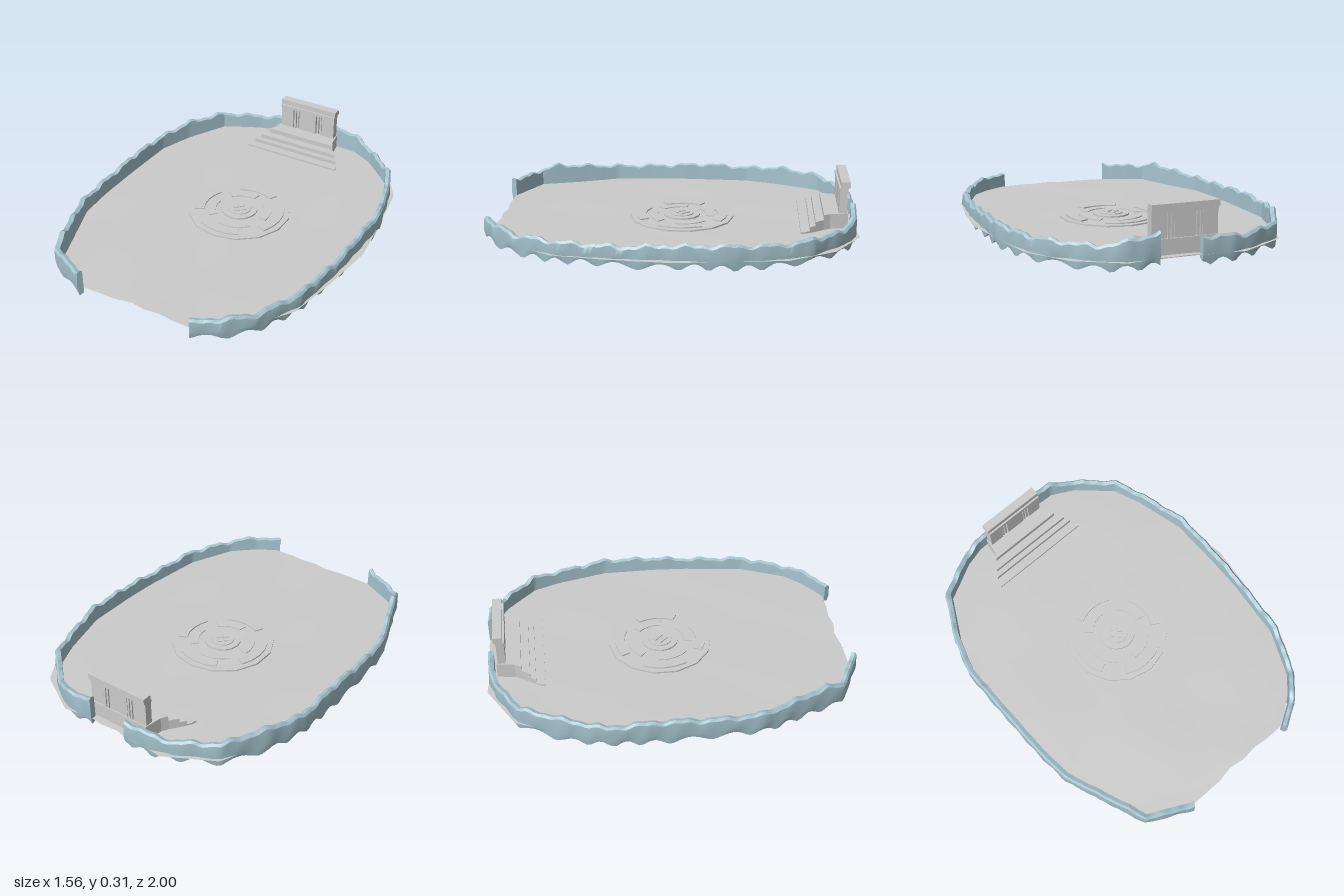
import * as THREE from 'three';
import { toCreasedNormals } from 'three/addons/utils/BufferGeometryUtils.js';

const grey = new THREE.MeshStandardMaterial({ color: 0xcccccc });
const greySheet = new THREE.MeshStandardMaterial({ color: 0xcccccc, side: THREE.DoubleSide });
const stone = new THREE.MeshStandardMaterial({ color: 0xa6c4ce });

function add(parent, name, geometry, material = grey) {
  const mesh = new THREE.Mesh(geometry, material);
  mesh.name = name;
  parent.add(mesh);
  return mesh;
}

// box given by its limits on each axis
function block(parent, name, x0, x1, y0, y1, z0, z1) {
  const mesh = add(parent, name, new THREE.BoxGeometry(x1 - x0, y1 - y0, z1 - z0));
  mesh.position.set((x0 + x1) / 2, (y0 + y1) / 2, (z0 + z1) / 2);
  return mesh;
}

// plan shape [x, z] raised from y0 to y1
function slab(points, y0, y1) {
  const shape = new THREE.Shape(points.map(([x, z]) => new THREE.Vector2(x, -z)));
  return new THREE.ExtrudeGeometry(shape, { depth: y1 - y0, bevelEnabled: false })
    .rotateX(-Math.PI / 2).translate(0, y0, 0);
}

function indexed(positions, index) {
  const g = new THREE.BufferGeometry();
  g.setAttribute('position', new THREE.Float32BufferAttribute(positions, 3));
  g.setIndex(index);
  g.computeVertexNormals();
  return g;
}

// gently uneven ground sheet, built as rings scaled from the outline
function floorGeometry() {
  const outline = [
    [-0.34, 0.955], [-0.59, 0.85], [-0.66, 0.64], [-0.755, 0.4], [-0.77, 0], [-0.765, -0.4], [-0.7, -0.6],
    [-0.585, -0.86], [-0.32, -1], [-0.2, -0.985], [-0.12, -0.995], [-0.03, -0.98], [0.06, -0.99], [0.14, -0.98],
    [0.3, -1], [0.54, -0.86], [0.685, -0.62], [0.735, -0.3], [0.775, -0.02], [0.735, 0.3], [0.685, 0.58],
    [0.56, 0.78], [0.33, 0.955], [0.2, 0.955], [0.12, 0.945], [0.03, 0.955], [-0.05, 0.94], [-0.15, 0.955]];
  const n = outline.length, rings = 8;
  const positions = [0, 0.065, 0], index = [];
  for (let r = 1; r <= rings; r++) for (const [x, z] of outline) {
    const s = r / rings, wave = Math.sin(9 * x * s + 1) * Math.cos(6 * z * s);
    positions.push(x * s, 0.065 + 0.004 * wave * s, z * s);
  }
  for (let i = 0; i < n; i++) {
    const j = (i + 1) % n;
    index.push(0, 1 + j, 1 + i);
    for (let r = 0; r < rings - 1; r++) {
      const a = 1 + r * n + i, b = 1 + r * n + j;
      index.push(a, b, a + n, b, b + n, a + n);
    }
  }
  return indexed(positions, index);
}

// rough stone rim swept along [x, z, top height] points
function wallGeometry(path, seed) {
  const samples = [];
  path.slice(1).forEach((q, k) => {
    const p = path[k], steps = Math.max(2, Math.round(Math.hypot(q[0] - p[0], q[1] - p[1]) / 0.022));
    for (let i = k ? 1 : 0; i <= steps; i++) samples.push(p.map((v, c) => v + (q[c] - v) * i / steps));
  });
  const positions = [], index = [], m = 6, last = samples.length - 1;
  let along = seed;
  samples.forEach(([x, z, top], i) => {
    const a = samples[Math.max(0, i - 1)], b = samples[Math.min(last, i + 1)];
    const dx = b[0] - a[0], dz = b[1] - a[1], len = Math.hypot(dx, dz);
    along += len / 2;
    const ox = dz / len, oz = -dx / len;
    const y1 = top + 0.008 * Math.sin(along * 31) + 0.005 * Math.sin(along * 67 + seed);
    const y0 = 0.008 + 0.034 * Math.abs(Math.sin(along * 19 + 0.8 * Math.sin(along * 7))) ** 1.5
      + 0.008 * (1 + Math.sin(along * 11 + seed)) / 2;
    const bulge = 0.003 * Math.sin(along * 43);
    // outer foot, outer face, outer lip, crest, inner lip, inner foot
    const section = [[0.01, y0], [0.018 + bulge, 0.07], [0.016, y1 - 0.012], [0.006, y1], [-0.014, y1 - 0.006], [-0.016, y0 + 0.012]];
    for (const [o, y] of section) positions.push(x + ox * o, y, z + oz * o);
  });
  for (let i = 0; i < last; i++) for (let j = 0; j < m; j++) {
    const a = i * m + j, b = i * m + (j + 1) % m;
    index.push(a, b, a + m, b, b + m, a + m);
  }
  for (let k = 1; k < m - 1; k++) index.push(0, k + 1, k, last * m, last * m + k, last * m + k + 1);
  return toCreasedNormals(indexed(positions, index), 0.6);
}

// curved bar between two radii, centred on the given angle
function arcBar(r0, r1, angle, spread, y0, y1) {
  const points = [], n = 4;
  for (let i = 0; i <= n; i++) points.push([r1, angle - spread + 2 * spread * i / n]);
  for (let i = n; i >= 0; i--) points.push([r0, angle - spread + 2 * spread * i / n]);
  return slab(points.map(([r, a]) => [r * Math.cos(a), -r * Math.sin(a)]), y0, y1);
}

function disc(parent, name, radius, y0, y1, sides) {
  const g = new THREE.CylinderGeometry(radius, radius, y1 - y0, sides).translate(0, (y0 + y1) / 2, 0);
  return add(parent, name, toCreasedNormals(g, 0.3));
}

export function createModel() {
  const model = new THREE.Group();
  model.name = 'arena';
  add(model, 'floor', floorGeometry(), greySheet);

  // rim walls, open at the front and behind the backrest
  add(model, 'rightWall', wallGeometry([
    [-0.35, 0.965, 0.165], [-0.46, 0.91, 0.15], [-0.585, 0.845, 0.155], [-0.62, 0.75, 0.178], [-0.665, 0.63, 0.165],
    [-0.75, 0.4, 0.145], [-0.765, 0.2, 0.145], [-0.765, -0.15, 0.16], [-0.76, -0.4, 0.145], [-0.695, -0.6, 0.165],
    [-0.57, -0.83, 0.155], [-0.36, -0.94, 0.14], [-0.25, -0.97, 0.15], [-0.09, -0.975, 0.16]], 0.3), stone);
  add(model, 'leftWall', wallGeometry([
    [0.13, -0.972, 0.2], [0.29, -0.965, 0.165], [0.42, -0.895, 0.14], [0.595, -0.73, 0.15], [0.655, -0.58, 0.14],
    [0.725, -0.3, 0.15], [0.72, 0, 0.145], [0.71, 0.2, 0.13], [0.67, 0.53, 0.135], [0.555, 0.78, 0.13],
    [0.44, 0.9, 0.145], [0.31, 0.978, 0.13]], 1.7), stone);

  // round medallion in the middle
  const medallion = new THREE.Group();
  medallion.name = 'medallion';
  medallion.position.set(0, 0, -0.045);
  model.add(medallion);
  disc(medallion, 'medallionBase', 0.285, 0.054, 0.073, 14);
  for (let i = 0; i < 4; i++) {
    const a = i * Math.PI / 2;
    add(medallion, 'outerArc', arcBar(0.2, 0.25, a, 0.5, 0.07, 0.08));
    add(medallion, 'innerArc', arcBar(0.135, 0.18, a + 0.35, 0.5, 0.07, 0.078));
    const tile = block(medallion, 'centreTile', -0.014, 0.014, 0.085, 0.092, -0.014, 0.014);
    tile.position.x = 0.025 * Math.cos(a);
    tile.position.z = 0.025 * Math.sin(a);
    tile.rotation.y = Math.PI / 4;
  }
  disc(medallion, 'hub', 0.1, 0.07, 0.082, 16);
  disc(medallion, 'hubCap', 0.065, 0.08, 0.087, 12);

  // flared stairs: each step keeps the part of the flare behind its front edge
  const dais = new THREE.Group();
  dais.name = 'dais';
  dais.position.x = -0.018;
  model.add(dais);
  const flare = [[0.18, -0.945], [0.195, -0.85], [0.215, -0.815], [0.25, -0.77], [0.272, -0.74], [0.288, -0.715], [0.293, -0.69]];
  [[-0.69, 0.076], [-0.74, 0.097], [-0.77, 0.12], [-0.815, 0.148]].forEach(([front, top], i) => {
    const side = flare.filter(p => p[1] <= front + 1e-4);
    const mirrored = side.map(([x, z]) => [-x, z]);
    add(dais, 'step', slab([...mirrored, ...side.reverse()], 0.052 + i * 0.001, top));
  });

  // backrest with piers, slim columns and a cornice
  block(dais, 'backPanel', -0.177, 0.177, 0.06, 0.285, -0.935, -0.913);
  for (const s of [-1, 1]) {
    block(dais, 'endPier', s * 0.1365 - 0.0405, s * 0.1365 + 0.0405, 0.06, 0.28, -0.938, -0.896);
    for (const x of [0.068, 0.086])
      block(dais, 'column', s * x - 0.006, s * x + 0.006, 0.06, 0.28, -0.942, -0.9);
  }
  block(dais, 'centrePier', -0.056, 0.056, 0.06, 0.28, -0.938, -0.896);
  block(dais, 'corniceLedge', -0.178, 0.178, 0.272, 0.29, -0.942, -0.892);
  block(dais, 'cornice', -0.18, 0.18, 0.288, 0.32, -0.952, -0.902);
  return model;
}
